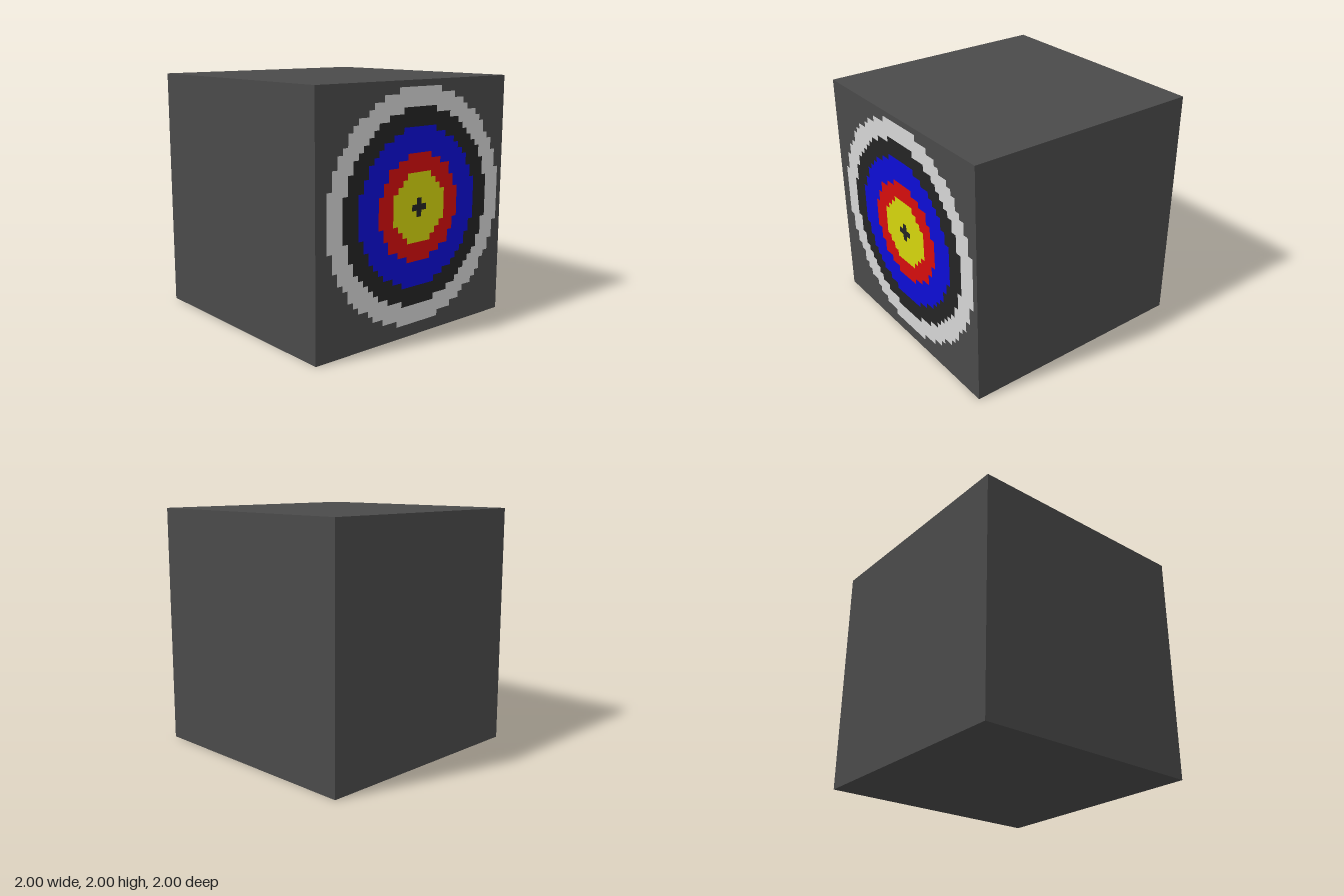
import * as THREE from 'three';

const CELL = 0.05;
const CENTRE = new THREE.Vector2(0.025, 1.025);

const material = (name, color) => {
  const m = new THREE.MeshStandardMaterial({ color });
  m.name = name;
  return m;
};

// Stepped outline of a disc drawn on the cell grid, counter-clockwise
function steppedDisc(radius) {
  const n = Math.floor(radius);
  const points = [];
  const add = (i, j) => points.push(new THREE.Vector2(i * CELL, j * CELL).add(CENTRE));
  const halfWidth = (j) => Math.floor(Math.sqrt(radius * radius - j * j)) + 0.5;
  for (let j = -n; j <= n; j++) {
    add(halfWidth(j), j - 0.5);
    add(halfWidth(j), j + 0.5);
  }
  for (let j = n; j >= -n; j--) {
    add(-halfWidth(j), j + 0.5);
    add(-halfWidth(j), j - 0.5);
  }
  // Drop repeated and collinear points
  return points.filter((p, k) => {
    const a = points[(k + points.length - 1) % points.length];
    const b = points[(k + 1) % points.length];
    return Math.abs((p.x - a.x) * (b.y - p.y) - (p.y - a.y) * (b.x - p.x)) > 1e-9;
  });
}

export function createModel() {
  const group = new THREE.Group();
  group.name = 'targetBlock';

  const grey = material('dark grey', 0x4a4a4a);
  const white = material('off white', 0xd6d6d6);
  const black = material('black', 0x242424);
  const blue = material('blue', 0x0d0dd6);
  const red = material('red', 0xd60d0d);
  const yellow = material('yellow', 0xd6d60d);

  const addMesh = (name, geometry, mat) => {
    const mesh = new THREE.Mesh(geometry, mat);
    mesh.name = name;
    group.add(mesh);
    return mesh;
  };

  // Block body without its front face
  const body = new THREE.BoxGeometry(2, 2, 2);
  const index = Array.from(body.index.array);
  index.splice(24, 6);
  body.setIndex(index);
  body.clearGroups();
  body.translate(0, 1, 0);
  addMesh('blockBody', body, grey);

  // Target rings, outermost first, each filling the hole in the one before
  const rings = [
    ['whiteRing', 18.5, white],
    ['blackRing', 15.5, black],
    ['blueRing', 12.5, blue],
    ['redRing', 8.5, red],
    ['yellowRing', 5.5, yellow],
    ['centreCross', 1.2, black],
  ];
  const addFace = (name, outline, hole, mat) => {
    const shape = new THREE.Shape(outline);
    if (hole) shape.holes.push(new THREE.Path(hole));
    addMesh(name, new THREE.ShapeGeometry(shape), mat).position.z = 1;
  };
  const outlines = rings.map(([, radius]) => steppedDisc(radius));

  // Front face surrounding the target
  const square = [[-1, 0], [1, 0], [1, 2], [-1, 2]].map(([x, y]) => new THREE.Vector2(x, y));
  addFace('frontFace', square, outlines[0], grey);
  rings.forEach(([name, , mat], k) => addFace(name, outlines[k], outlines[k + 1], mat));

  return group;
}
